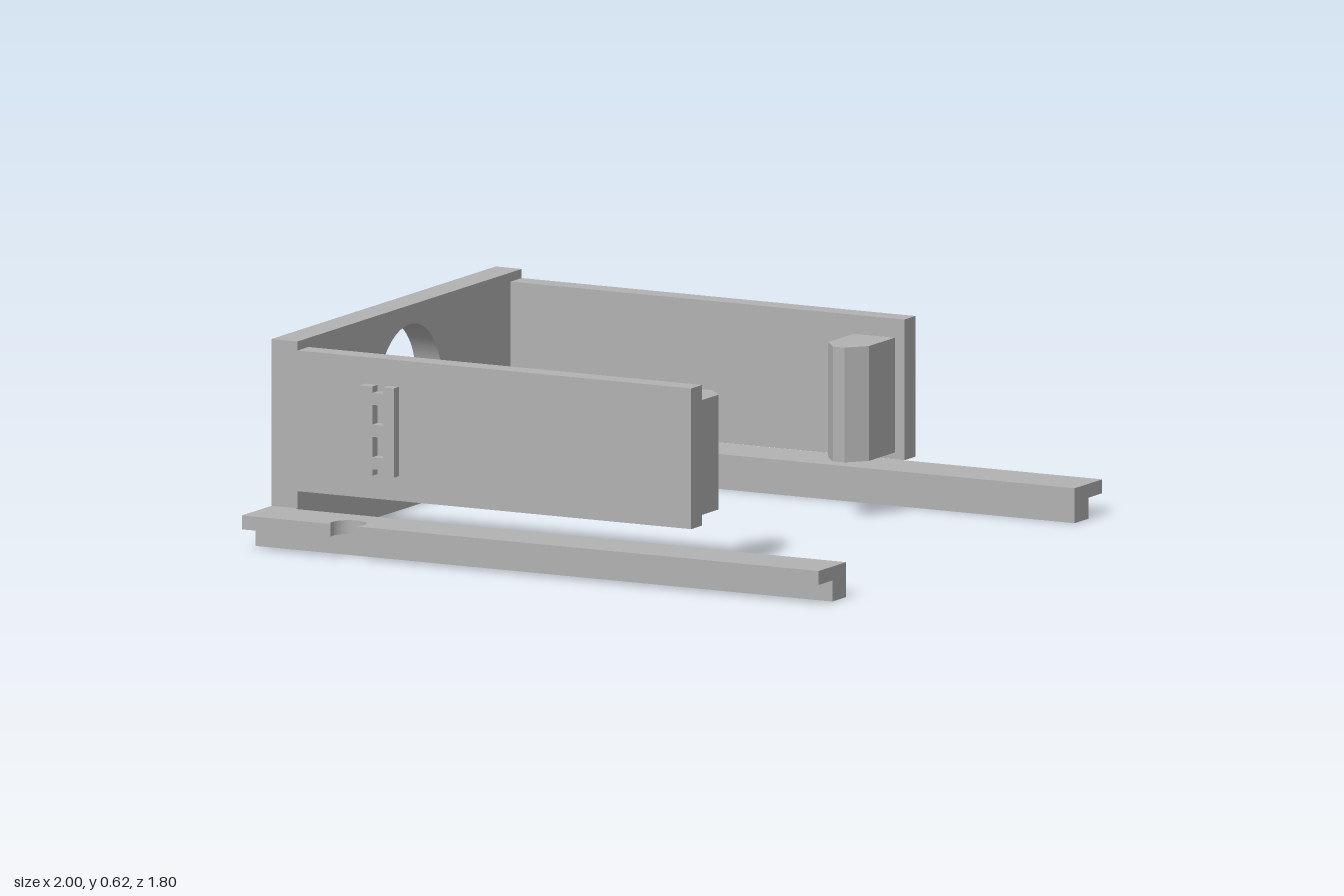
import * as THREE from 'three';

const material = new THREE.MeshStandardMaterial({ color: 0xb2b2b2 });
material.name = 'grey plastic';

const outline = (pts) => new THREE.Shape(pts.map(([x, y]) => new THREE.Vector2(x, y)));
const rectPath = (x0, x1, y0, y1) => outline([[x0, y0], [x1, y0], [x1, y1], [x0, y1]]);
const prism = (shape, depth) =>
  new THREE.ExtrudeGeometry(shape, { depth, bevelEnabled: false, curveSegments: 64 });

// (x, z) outline standing between two heights
const upright = (shape, y0, y1) => prism(shape, y1 - y0).rotateX(Math.PI / 2).translate(0, y1, 0);
// (z, y) outline running between two x positions
const lengthwise = (shape, x0, x1) => prism(shape, x1 - x0).rotateY(-Math.PI / 2).translate(x1, 0, 0);

function box(x0, x1, y0, y1, z0, z1) {
  return new THREE.BoxGeometry(x1 - x0, y1 - y0, Math.abs(z1 - z0))
    .translate((x0 + x1) / 2, (y0 + y1) / 2, (z0 + z1) / 2);
}

export function createModel() {
  const model = new THREE.Group();
  model.name = 'slotBracket';
  const add = (name, geometry) => {
    const mesh = new THREE.Mesh(geometry, material);
    mesh.name = name;
    model.add(mesh);
  };

  // End plate with round opening; its foot widens to meet the rails
  const plate = outline([
    [-0.725, 0], [0.725, 0], [0.725, 0.108], [0.712, 0.108], [0.712, 0.624],
    [-0.712, 0.624], [-0.712, 0.108], [-0.725, 0.108],
  ]);
  plate.holes.push(new THREE.Path().absarc(0, 0.361, 0.204, 0, Math.PI * 2, true));
  add('endPlate', lengthwise(plate, -1, -0.91));

  for (const s of [1, -1]) {
    const side = s > 0 ? 'front' : 'back';

    // Stepped rail: narrow foot and overhanging flange with a round notch
    add(side + 'RailFoot', box(-1, 1, 0, 0.065, s * 0.725, s * 0.813));
    const pts = [[-1, 0.725], [1, 0.725], [1, 0.9]];
    const a0 = Math.asin(0.035 / 0.055), a1 = -Math.PI - a0;
    for (let i = 0; i <= 32; i++) {
      const a = a0 + (a1 - a0) * i / 32;
      pts.push([-0.65 + 0.055 * Math.cos(a), 0.865 + 0.055 * Math.sin(a)]);
    }
    pts.push([-1, 0.9]);
    add(side + 'RailFlange', upright(outline(pts.map(([x, z]) => [x, s * z])), 0.065, 0.108));

    // Side arm
    add(side + 'Arm', box(-0.91, 0.455, 0.161, 0.596, s * 0.642, s * 0.712));

    // Inward post with bevelled nose
    const post = [[0.28, 0.642], [0.28, 0.478], [0.33, 0.418], [0.37, 0.418], [0.422, 0.478], [0.422, 0.642]];
    add(side + 'Post', upright(outline(post.map(([x, z]) => [x, s * z])), 0.182, 0.537));
  }

  // Small raised tab on the front arm, notched at both ends, with two windows
  const tab = outline([
    [-0.674, 0.238], [-0.632, 0.238], [-0.632, 0.258], [-0.595, 0.258], [-0.595, 0.238], [-0.558, 0.238],
    [-0.558, 0.514], [-0.595, 0.514], [-0.595, 0.494], [-0.632, 0.494], [-0.632, 0.514], [-0.674, 0.514],
  ]);
  tab.holes.push(rectPath(-0.632, -0.595, 0.295, 0.358), rectPath(-0.632, -0.595, 0.396, 0.457));
  add('frontTab', prism(tab, 0.033).translate(0, 0, 0.712));

  return model;
}
